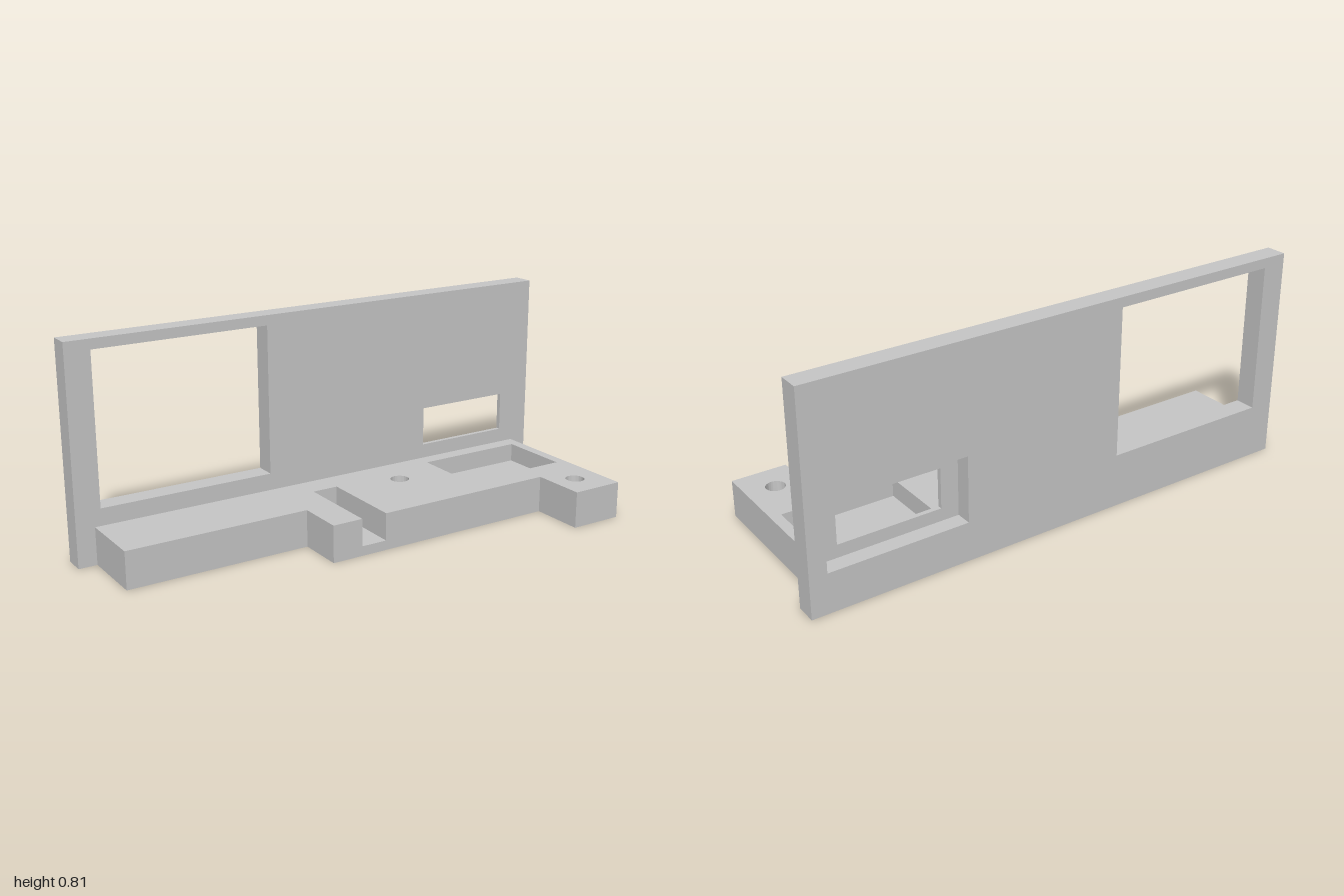
import * as THREE from 'three';
import { toCreasedNormals } from 'three/addons/utils/BufferGeometryUtils.js';

const rect = (x0, y0, x1, y1) => [[x0, y0], [x1, y0], [x1, y1], [x0, y1]];
const points = (list) => list.map(([x, y]) => new THREE.Vector2(x, y));

function circle(x, y, r) {
  const path = new THREE.Path();
  path.absarc(x, y, r, 0, Math.PI * 2, true);
  return path;
}

// Extrude an outline with holes from depth a to depth b
function layer(outline, holes, a, b) {
  const shape = new THREE.Shape(points(outline));
  shape.holes = holes.map((h) => (Array.isArray(h) ? new THREE.Path(points(h)) : h));
  const geometry = new THREE.ExtrudeGeometry(shape, { depth: b - a, bevelEnabled: false, curveSegments: 32 });
  geometry.translate(0, 0, a);
  return toCreasedNormals(geometry, 0.6);
}

export function createModel() {
  const model = new THREE.Group();
  const grey = new THREE.MeshStandardMaterial({ name: 'light grey', color: 0xc8c8c8 });

  const add = (parent, name, geometry) => {
    const mesh = new THREE.Mesh(geometry, grey);
    mesh.name = name;
    parent.add(mesh);
  };

  // Upright panel: front skin with a slot, back layer with a wider recess
  const panel = new THREE.Group();
  panel.name = 'uprightPanel';
  const face = rect(-1, 0, 1, 0.813);
  const displayWindow = rect(-0.905, 0.207, -0.23, 0.775);
  add(panel, 'panelBack', layer(face, [displayWindow, rect(0.405, 0.15, 0.935, 0.4)], -0.365, -0.303));
  add(panel, 'panelFront', layer(face, [displayWindow, rect(0.473, 0.198, 0.865, 0.35)], -0.303, -0.285));
  model.add(panel);

  // Stepped base, drawn as (x, -z) and laid flat
  const base = new THREE.Group();
  base.name = 'steppedBase';
  const outline = (groove) => [
    [-0.93, 0.285], [-0.93, 0.027], [-0.225, 0.027], [-0.225, -0.155],
    ...groove,
    [0.718, -0.155], [0.718, -0.365], [0.928, -0.365], [0.928, 0.285],
  ];
  const groove = [[-0.105, -0.155], [-0.105, 0.181], [-0.003, 0.181], [-0.003, -0.155]];
  const pocket = rect(0.452, -0.055, 0.888, 0.227);
  const slab = (name, cut, holes, y0, y1) =>
    add(base, name, layer(outline(cut), holes, y0, y1).rotateX(-Math.PI / 2));

  // Blind holes: one pair opens upward, the other downward
  const topHoles = [circle(0.248, 0.124, 0.036), circle(0.817, -0.243, 0.036)];
  const bottomHoles = [circle(0.35, -0.076, 0.036), circle(-0.57, 0.146, 0.036)];

  slab('baseFloor', [], bottomHoles, 0, 0.037);
  slab('baseMiddle', groove, bottomHoles, 0.037, 0.07);
  slab('baseTop', groove, [pocket, ...topHoles], 0.07, 0.142);
  model.add(base);

  return model;
}
